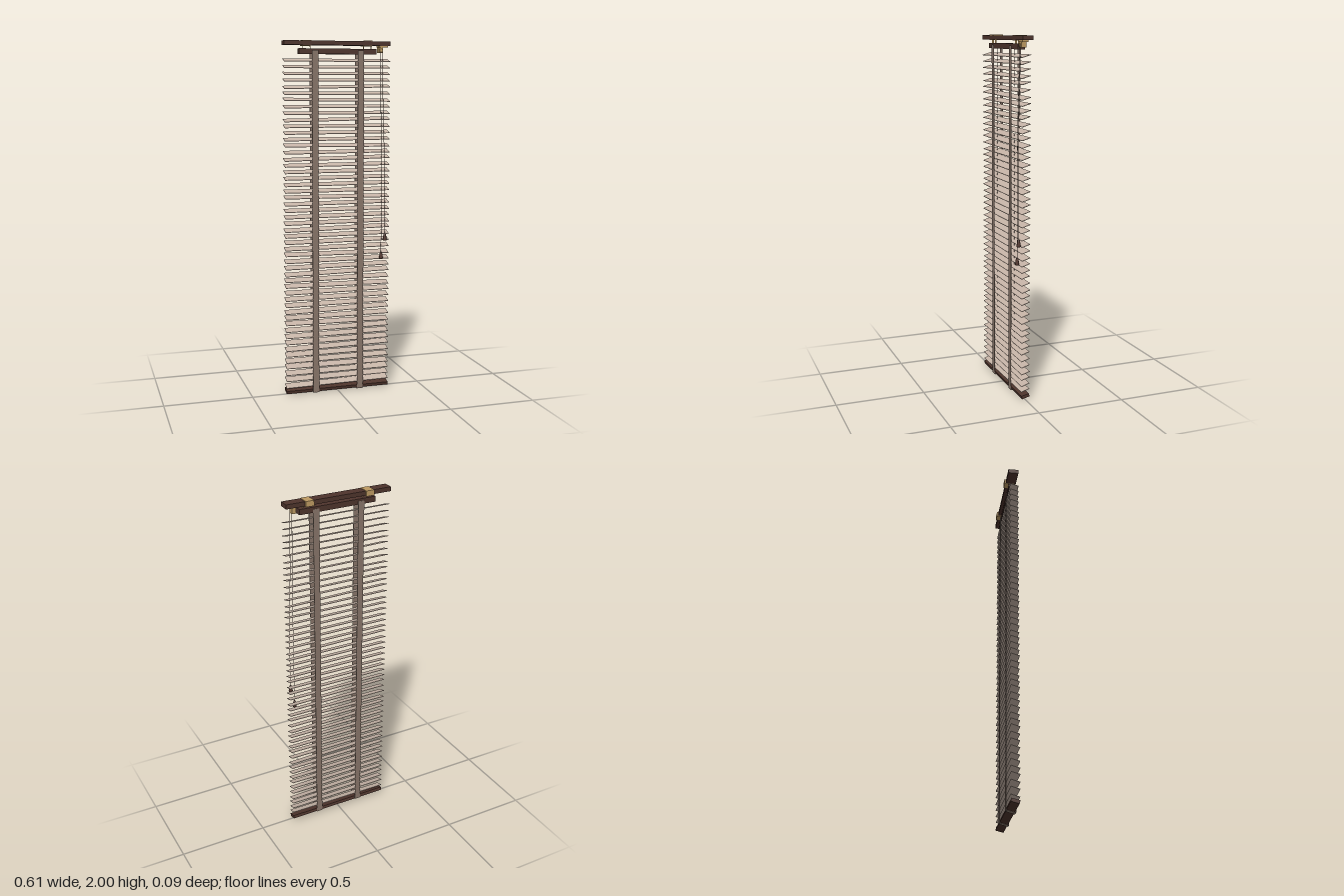
import * as THREE from 'three';

const mat = (name, color) => {
  const m = new THREE.MeshStandardMaterial({ color });
  m.name = name;
  return m;
};

export function createModel() {
  const wood = mat('dark wood', 0x4e342c);
  const slatPaint = mat('slat beige', 0xc6b4a7);
  const tapeCloth = mat('tape cloth', 0x877569);
  const brass = mat('brass', 0xbd9a62);

  const model = new THREE.Group();
  model.name = 'windowBlind';

  const add = (name, geometry, material, x, y, z) => {
    const mesh = new THREE.Mesh(geometry, material);
    mesh.name = name;
    mesh.position.set(x, y, z);
    model.add(mesh);
    return mesh;
  };
  const box = (name, material, x0, x1, y0, y1, z0, z1) =>
    add(name, new THREE.BoxGeometry(x1 - x0, y1 - y0, z1 - z0), material,
      (x0 + x1) / 2, (y0 + y1) / 2, (z0 + z1) / 2);
  const tube = (name, material, points, radius, segments) =>
    add(name, new THREE.TubeGeometry(
      new THREE.CatmullRomCurve3(points.map(p => new THREE.Vector3(...p))),
      segments, radius, 6), material, 0, 0, 0);

  // Top valance and the shorter head rail below it
  box('valance', wood, -0.305, 0.305, 1.973, 1.997, -0.036, 0.0225);
  box('headRail', wood, -0.22, 0.225, 1.925, 1.955, -0.022, 0.016);

  // Brass wall brackets wrapped round the valance, with thin hangers
  for (const side of [-1, 1]) {
    const cx = side * 0.1755;
    box('bracket', brass, cx - 0.0235, cx + 0.0235, 1.97, 2, -0.045, 0.02);
    for (const dx of [-0.022, 0.022]) {
      box('hanger', brass, cx + dx - 0.0008, cx + dx + 0.0008, 1.95, 1.972, -0.005, 0.005);
    }
  }

  // Slats, tilted front edge down, some hanging slightly askew
  const slatGeometry = new THREE.BoxGeometry(0.61, 0.0028, 0.05);
  const slatCount = 52, pitch = 0.0361, tilt = 0.3;
  const askewSlats = [0, 3, 6, 10, 12, 16, 18, 21, 25, 30, 36, 38, 42, 45, 47];
  for (let i = 0; i < slatCount; i++) {
    const slat = add('slat', slatGeometry, slatPaint, 0, 0.051 + pitch * i, -0.001);
    const turn = askewSlats.indexOf(i);
    slat.rotation.set(tilt, 0, turn < 0 ? 0 : turn % 2 ? -0.013 : 0.013);
  }

  // Bottom rail shares the tilt of the slats
  box('bottomRail', wood, -0.305, 0.305, 0.011, 0.029, -0.0245, 0.0215).rotation.x = 0.25;

  // Ladder tapes, front and back, joined beneath the bottom rail
  for (const side of [-1, 1]) {
    const cx = side * 0.132;
    box('frontTape', tapeCloth, cx - 0.018, cx + 0.018, 0.003, 1.945, 0.0235, 0.025);
    box('backTape', tapeCloth, cx - 0.018, cx + 0.018, 0.014, 1.945, -0.0275, -0.026);
    box('tapeFold', tapeCloth, cx - 0.018, cx + 0.018, 0.007, 0.0085, -0.026, 0.024).rotation.x = 0.25;
    tube('liftCord', tapeCloth, [[cx, 0.03, -0.001], [cx, 1.93, -0.001]], 0.0012, 1);
  }

  // Brass cord lock with a small pulley
  box('cordLockPlate', brass, 0.235, 0.292, 1.965, 1.974, -0.015, 0.018);
  box('cordLock', brass, 0.24, 0.264, 1.935, 1.966, -0.016, 0.014);
  add('pulley', new THREE.CylinderGeometry(0.011, 0.011, 0.014, 16), brass, 0.252, 1.945, 0.01)
    .rotation.z = Math.PI / 2;

  // Pull cords ending in wooden tassels
  const tasselGeometry = new THREE.LatheGeometry([
    [0, -0.02], [0.011, -0.02], [0.0115, -0.013], [0.008, 0.008], [0.0055, 0.018], [0, 0.02],
  ].map(p => new THREE.Vector2(...p)), 16);
  for (const [xTop, xEnd, y] of [[0.249, 0.255, 0.787], [0.262, 0.277, 0.893]]) {
    tube('pullCord', tapeCloth,
      [[xTop, 1.95, 0.016], [xTop + 0.002, 1.6, 0.026], [xEnd - 0.002, 1.25, 0.031], [xEnd, y + 0.015, 0.031]],
      0.0015, 24);
    add('tassel', tasselGeometry, wood, xEnd, y, 0.031);
  }

  return model;
}
